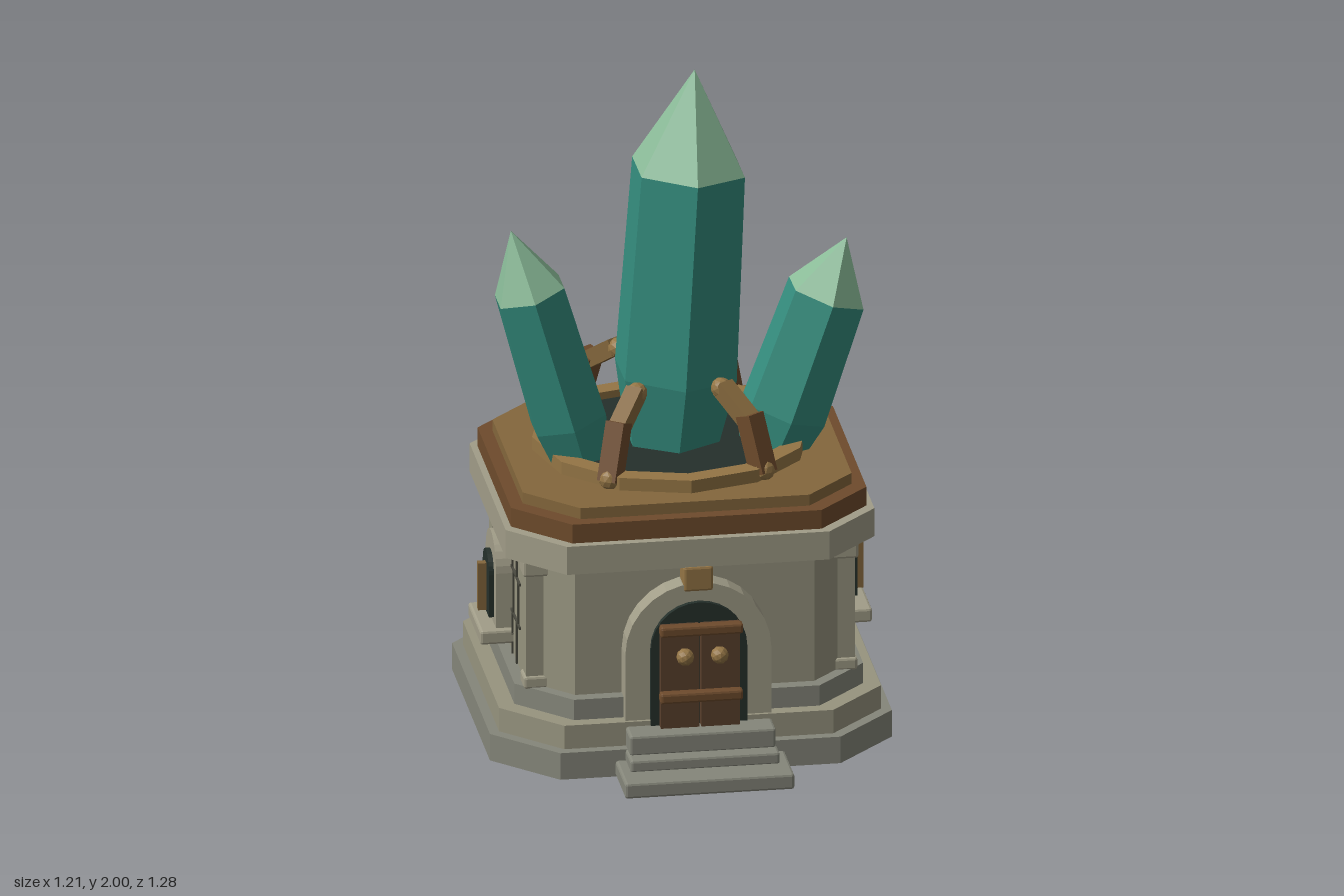
import * as THREE from 'three';
import { RoundedBoxGeometry } from 'three/addons/geometries/RoundedBoxGeometry.js';

const CZ = -0.095; // centre of the building in z
const mat = (color) => new THREE.MeshStandardMaterial({ color, flatShading: true });
const M = {
  stone: mat(0x97947f), paleStone: mat(0xa19d88), greyStone: mat(0x85867a), joint: mat(0x4c4b41),
  dark: mat(0x25302b), darkWood: mat(0x5a402c), wood: mat(0x6e4b2c), roof: mat(0x84673c),
  gold: mat(0x947545), crystal: mat(0x348c7d), tip: mat(0x8abb98),
};

function add(parent, name, geometry, material, x = 0, y = 0, z = 0) {
  const mesh = new THREE.Mesh(geometry, material);
  mesh.name = name;
  mesh.position.set(x, y, z);
  parent.add(mesh);
  return mesh;
}
const box = (w, h, d) => new THREE.BoxGeometry(w, h, d);
const softBox = (w, h, d) => new RoundedBoxGeometry(w, h, d, 1, 0.008);
const ball = (r) => new THREE.IcosahedronGeometry(r, 1);
const extrude = (shape, depth) =>
  new THREE.ExtrudeGeometry(shape, { depth, bevelEnabled: false, curveSegments: 7 });

// Slab with chamfered corners, half sizes hx and hz, from y0 to y1
function tier(parent, name, hx, hz, c, y0, y1, material) {
  const s = new THREE.Shape([
    [hx - c, -hz], [hx, c - hz], [hx, hz - c], [hx - c, hz],
    [c - hx, hz], [-hx, hz - c], [-hx, c - hz], [c - hx, -hz],
  ].map(([x, y]) => new THREE.Vector2(x, y)));
  add(parent, name, extrude(s, y1 - y0).rotateX(-Math.PI / 2), material, 0, y0, CZ);
}

// Round-topped outline: half width r, from y0 up to an arch centred at yc
function archPath(target, r, y0, yc) {
  target.moveTo(-r, y0);
  target.lineTo(r, y0);
  target.lineTo(r, yc);
  target.absarc(0, yc, r, 0, Math.PI, false);
  target.lineTo(-r, y0);
  return target;
}

function archFrame(outer, inner, y0, ycOuter, ycInner, depth, y0Inner) {
  const s = archPath(new THREE.Shape(), outer, y0, ycOuter);
  s.holes.push(archPath(new THREE.Path(), inner, y0Inner, ycInner));
  return extrude(s, depth);
}

// Six-sided crystal running from its root to its point
function crystal(parent, name, from, to, r) {
  const a = new THREE.Vector3(...from), d = new THREE.Vector3(...to).sub(a);
  const len = d.length();
  const g = new THREE.Group();
  g.name = name;
  g.position.copy(a);
  g.quaternion.setFromUnitVectors(new THREE.Vector3(0, 1, 0), d.normalize());
  const lathe = (pts) =>
    new THREE.LatheGeometry(pts.map(([s, t]) => new THREE.Vector2(s * r, t * len)), 6).toNonIndexed();
  add(g, 'crystalShaft', lathe([[0, 0], [0.8, 0], [1.08, 0.2], [1, 0.74]]), M.crystal);
  add(g, 'crystalTip', lathe([[1, 0.74], [0, 1]]), M.tip);
  parent.add(g);
}

// Bent arm holding the crystals, built along +x from the ring centre
function claw(parent, x, z) {
  const g = new THREE.Group();
  g.name = 'claw';
  g.position.set(0, 0, -0.138);
  g.rotation.y = -Math.atan2(z, x);
  const bar = (name, [x0, y0], [x1, y1], w, material) => {
    const m = add(g, name, box(w, Math.hypot(x1 - x0, y1 - y0), w), material, (x0 + x1) / 2, (y0 + y1) / 2);
    m.rotation.z = Math.atan2(x0 - x1, y1 - y0);
  };
  bar('lowerArm', [0.4, 0.84], [0.34, 1.01], 0.06, M.wood);
  bar('upperArm', [0.355, 0.98], [0.225, 1.065], 0.052, M.roof);
  add(g, 'clawFoot', ball(0.035), M.gold, 0.4, 0.85);
  add(g, 'clawKnob', ball(0.032), M.gold, 0.22, 1.06);
  parent.add(g);
}

// Thin joints of a block wall, drawn in the xy plane between x0 and x1
function wallJoints(x0, x1) {
  const g = new THREE.Group();
  g.name = 'wallJoints';
  const rows = [0.225, 0.36, 0.5, 0.625], w = x1 - x0;
  rows.forEach((y, i) => {
    if (i) add(g, 'bedJoint', box(w, 0.008, 0.012), M.joint, (x0 + x1) / 2, y);
    if (i === 3) return;
    for (const t of i % 2 ? [0.22, 0.8] : [0.1, 0.62]) {
      const h = rows[i + 1] - y;
      add(g, 'headJoint', box(0.008, h, 0.012), M.joint, x0 + t * w, y + h / 2);
    }
  });
  return g;
}

// Arched window facing +z, with its wall plane at z = 0
function sideWindow() {
  const g = new THREE.Group();
  g.name = 'sideWindow';
  add(g, 'windowFrame', archFrame(0.1, 0.06, 0.28, 0.475, 0.455, 0.055, 0.32), M.paleStone, 0, 0, -0.005);
  add(g, 'windowPane', extrude(archPath(new THREE.Shape(), 0.06, 0.32, 0.455), 0.065), M.dark);
  add(g, 'windowBar', box(0.024, 0.15, 0.03), M.roof, 0, 0.4, 0.075);
  add(g, 'windowSill', softBox(0.24, 0.045, 0.11), M.paleStone, 0, 0.278, 0.045);
  return g;
}

export function createModel() {
  const model = new THREE.Group();
  model.name = 'crystalShrine';

  // Plinth, walls, cornice and roof
  tier(model, 'plinthBase', 0.605, 0.545, 0.183, 0, 0.085, M.greyStone);
  tier(model, 'plinthMiddle', 0.575, 0.515, 0.17, 0.085, 0.16, M.stone);
  tier(model, 'plinthTop', 0.525, 0.475, 0.155, 0.16, 0.225, M.greyStone);
  tier(model, 'walls', 0.49, 0.437, 0.13, 0.225, 0.64, M.stone);
  tier(model, 'cornice', 0.555, 0.505, 0.16, 0.64, 0.73, M.paleStone);
  tier(model, 'roofEdge', 0.535, 0.48, 0.16, 0.73, 0.79, M.wood);
  tier(model, 'roofTop', 0.495, 0.44, 0.15, 0.79, 0.825, M.roof);

  // Twelve-sided ring around the dark pit
  const ringPoints = [[0.355, 0.825], [0.415, 0.825], [0.415, 0.865], [0.355, 0.865], [0.355, 0.825]];
  add(model, 'roofRing', new THREE.LatheGeometry(ringPoints.map((p) => new THREE.Vector2(...p)), 12).toNonIndexed(),
    M.gold, 0, 0, -0.135);
  add(model, 'pit', new THREE.CylinderGeometry(0.36, 0.36, 0.02, 12), M.dark, 0, 0.832, -0.135);

  // Crystals and the claws around them
  crystal(model, 'mainCrystal', [0.005, 0.81, -0.143], [0.08, 2, -0.17], 0.18);
  crystal(model, 'rightCrystal', [-0.275, 0.8, -0.05], [-0.49, 1.56, -0.065], 0.115);
  crystal(model, 'leftCrystal', [0.285, 0.8, -0.065], [0.525, 1.465, -0.09], 0.125);
  for (const sx of [-1, 1]) for (const sz of [-1, 1]) claw(model, sx * 0.23, sz * 0.325);

  // Corner columns
  for (const sx of [-1, 1]) for (const sz of [-1, 1]) {
    const x = sx * 0.465, z = CZ + sz * 0.325;
    add(model, 'column', box(0.06, 0.42, 0.06), M.stone, x, 0.43, z);
    add(model, 'columnCapital', softBox(0.08, 0.055, 0.08), M.paleStone, x, 0.607, z);
    add(model, 'columnFoot', softBox(0.075, 0.04, 0.075), M.paleStone, x, 0.24, z);
  }

  // Block joints and windows on the sides, joints on the back
  for (const s of [-1, 1]) {
    const side = new THREE.Group();
    side.name = s > 0 ? 'leftSide' : 'rightSide';
    side.position.set(s * 0.49, 0, -0.13);
    side.rotation.y = s * Math.PI / 2;
    const near = wallJoints(-0.26, -0.1), far = wallJoints(0.1, 0.26);
    side.add(sideWindow(), near, far);
    model.add(side);
  }
  const back = wallJoints(-0.35, 0.35);
  back.position.z = CZ - 0.437;
  model.add(back);

  // Doorway with double doors
  const door = new THREE.Group();
  door.name = 'doorway';
  add(door, 'doorFrame', archFrame(0.22, 0.145, 0.12, 0.37, 0.388, 0.09, 0.13), M.paleStone, 0, 0, 0.32);
  add(door, 'doorRecess', extrude(archPath(new THREE.Shape(), 0.145, 0.13, 0.388), 0.09), M.dark, 0, 0, 0.335);
  add(door, 'keystone', softBox(0.09, 0.08, 0.08), M.gold, 0, 0.603, 0.375);
  for (const s of [-1, 1]) {
    add(door, 'doorLeaf', box(0.116, 0.325, 0.04), M.darkWood, s * 0.061, 0.3075, 0.432);
    add(door, 'doorKnob', ball(0.027), M.gold, s * 0.052, 0.387, 0.49);
  }
  for (const y of [0.25, 0.463]) add(door, 'doorStrap', softBox(0.25, 0.034, 0.035), M.wood, 0, y, 0.465);
  model.add(door);

  // Front steps
  [[0.51, 0.005, 0.05, 0.635], [0.45, 0.05, 0.085, 0.545], [0.44, 0.085, 0.145, 0.5]].forEach(([w, y0, y1, z1]) =>
    add(model, 'step', softBox(w, y1 - y0 + 0.005, z1 - 0.36), M.greyStone, 0, (y0 + y1 - 0.005) / 2, (z1 + 0.36) / 2));

  return model;
}
